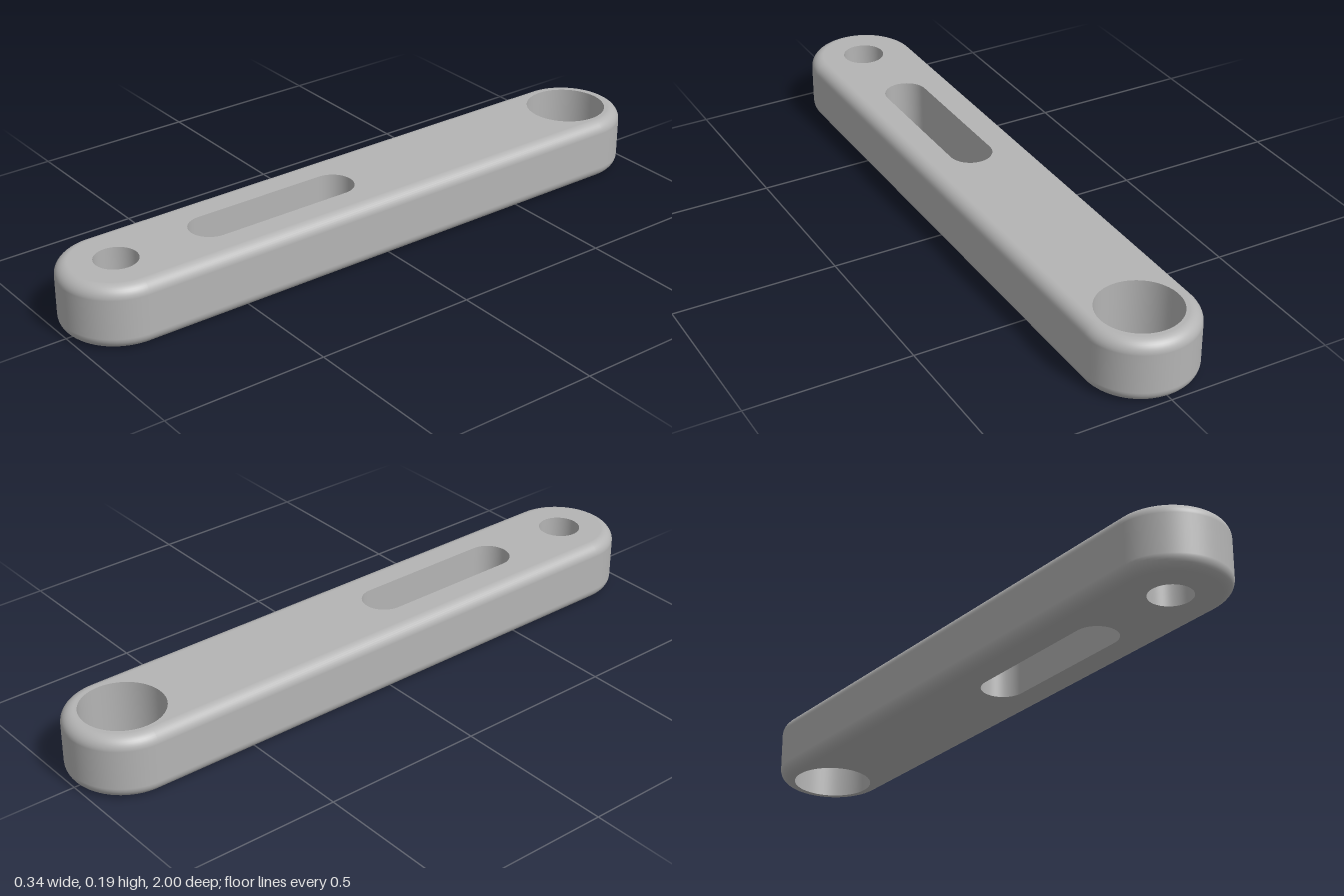
import * as THREE from 'three';

const HEIGHT = 0.193, RADIUS = 0.17, FILLET = 0.037, END = 0.83, ARC = 32;

// Round-ended outline running along z: points {x, z} with outward direction {dx, dz}
function outline(r, back, front) {
  const points = [];
  [front, back].forEach((centre, half) => {
    const last = back === front ? ARC - 1 : ARC;
    for (let i = 0; i <= last; i++) {
      const a = Math.PI * (half + i / ARC);
      const dx = Math.cos(a), dz = Math.sin(a);
      points.push({ x: r * dx, z: centre + r * dz, dx, dz });
    }
  });
  return points;
}

// Wall swept round an outline; profile rows are [radius, y, outward normal, vertical normal]
function wall(profile, back, front) {
  const position = [], normal = [], index = [];
  const count = outline(1, back, front).length;
  profile.forEach(([r, y, nr, ny], row) => {
    outline(r, back, front).forEach((p, i) => {
      position.push(p.x, y, p.z);
      normal.push(p.dx * nr, ny, p.dz * nr);
      if (row === profile.length - 1) return;
      const a = row * count + i, b = row * count + (i + 1) % count;
      index.push(a, a + count, b, b, a + count, b + count);
    });
  });
  const geometry = new THREE.BufferGeometry();
  geometry.setAttribute('position', new THREE.Float32BufferAttribute(position, 3));
  geometry.setAttribute('normal', new THREE.Float32BufferAttribute(normal, 3));
  geometry.setIndex(index);
  return geometry;
}

export function createModel() {
  const group = new THREE.Group();
  group.name = 'linkArm';
  const metal = new THREE.MeshStandardMaterial({ color: 0xb4b4b4 });
  metal.name = 'grey metal';
  const add = (name, geometry) => {
    const mesh = new THREE.Mesh(geometry, metal);
    mesh.name = name;
    group.add(mesh);
    return mesh;
  };

  const holes = [
    { name: 'largeBore', r: 0.123, back: -END, front: -END },
    { name: 'slot', r: 0.066, back: 0.098, front: 0.522 },
    { name: 'smallBore', r: 0.064, back: END, front: END },
  ];

  // Outer rim with rounded lower and upper edges
  const rim = [];
  for (const [start, y] of [[-Math.PI / 2, FILLET], [0, HEIGHT - FILLET]]) {
    for (let i = 0; i <= 10; i++) {
      const a = start + (Math.PI / 2) * (i / 10);
      const c = Math.cos(a), s = Math.sin(a);
      rim.push([RADIUS - FILLET + FILLET * c, y + FILLET * s, c, s]);
    }
  }
  add('outerRim', wall(rim, -END, END));

  // Straight walls through the holes, facing inward
  for (const { name, r, back, front } of holes) {
    add(name, wall([[r, HEIGHT, -1, 0], [r, 0, -1, 0]], back, front));
  }

  // Flat faces pierced by the holes
  for (const [name, side, y] of [['topFace', -1, HEIGHT], ['bottomFace', 1, 0]]) {
    const flat = (r, back, front) =>
      outline(r, back, front).map((p) => new THREE.Vector2(p.x, side * p.z));
    const shape = new THREE.Shape(flat(RADIUS - FILLET, -END, END));
    shape.holes = holes.map((h) => new THREE.Path(flat(h.r, h.back, h.front)));
    const face = add(name, new THREE.ShapeGeometry(shape));
    face.rotation.x = side * Math.PI / 2;
    face.position.y = y;
  }
  return group;
}
